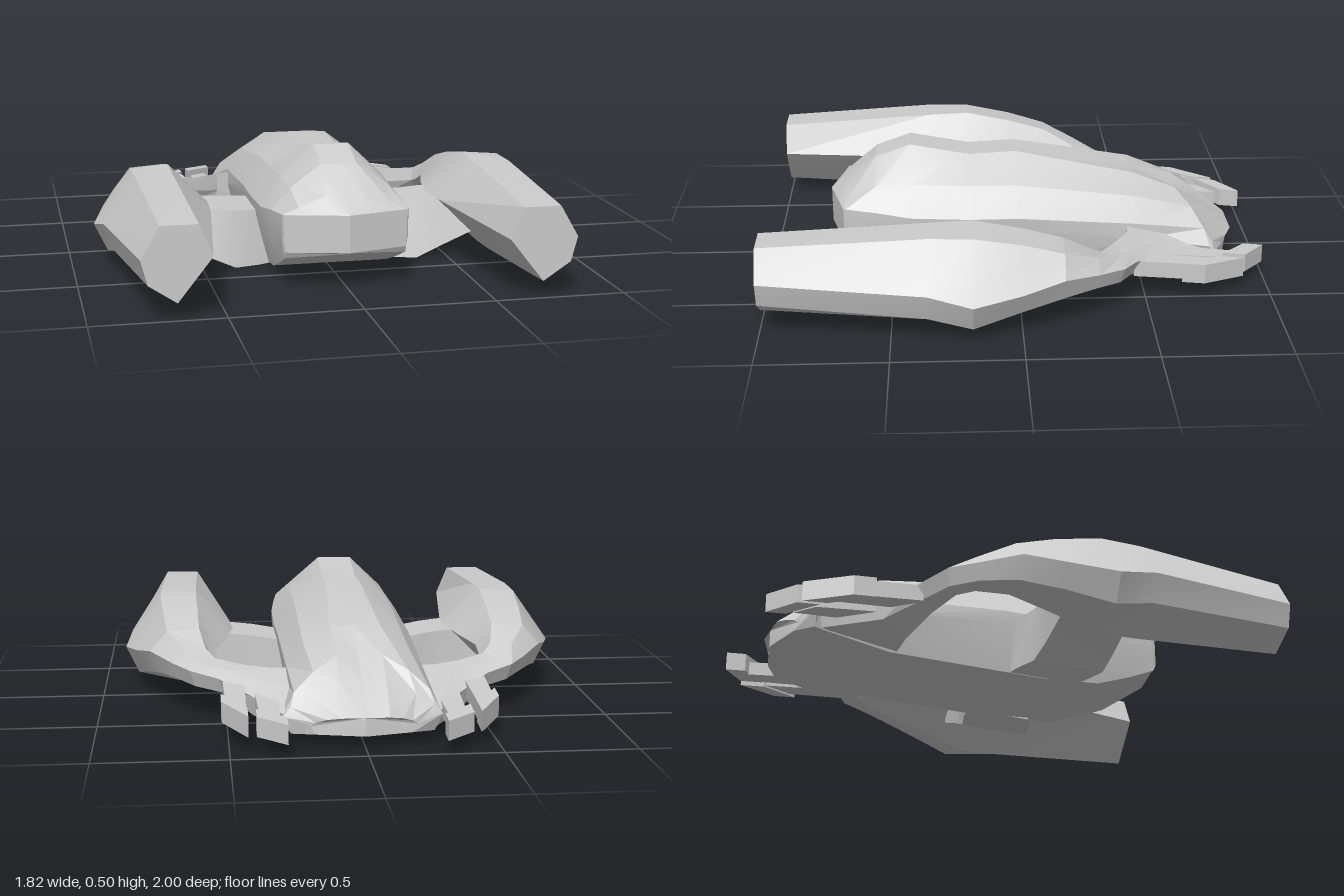
import * as THREE from 'three';
import { toCreasedNormals } from 'three/addons/utils/BufferGeometryUtils.js';

const material = new THREE.MeshStandardMaterial({ color: 0xcccccc });

// Skin a run of cross-sections (clockwise seen from the front, ordered front to back).
function loft(name, sections, crease) {
  const pos = [];
  const tri = (a, b, c) => pos.push(...a, ...b, ...c);
  const n = sections[0].length;
  for (let i = 0; i < sections.length - 1; i++) {
    for (let j = 0; j < n; j++) {
      const k = (j + 1) % n, s = sections[i], t = sections[i + 1];
      tri(s[j], s[k], t[j]);
      tri(s[k], t[k], t[j]);
    }
  }
  const first = sections[0], last = sections[sections.length - 1];
  for (let j = 1; j < n - 1; j++) {
    tri(first[0], first[j + 1], first[j]);
    tri(last[0], last[j], last[j + 1]);
  }
  const geo = new THREE.BufferGeometry();
  geo.setAttribute('position', new THREE.Float32BufferAttribute(pos, 3));
  const mesh = new THREE.Mesh(toCreasedNormals(geo, crease), material);
  mesh.name = name;
  return mesh;
}

const mirror = (sections) => sections.map((s) => s.map(([x, y, z]) => [-x, y, z]).reverse());

// Hull rows: z, sweep, then x,y of roof edge, shoulder, waist, lower waist, keel edge
const hullRows = [
  [0.76, -0.25, 0.07, 0.29, 0.18, 0.29, 0.24, 0.29, 0.24, 0.2, 0.235, 0.145],
  [0.68, 0.04, 0.07, 0.355, 0.18, 0.312, 0.245, 0.29, 0.245, 0.19, 0.235, 0.12],
  [0.57, 0, 0.07, 0.45, 0.19, 0.365, 0.262, 0.28, 0.262, 0.19, 0.23, 0.07],
  [0.43, 0, 0.07, 0.5, 0.2, 0.375, 0.278, 0.26, 0.275, 0.2, 0.23, 0.02],
  [0.19, 0, 0.07, 0.455, 0.2, 0.365, 0.278, 0.25, 0.275, 0.2, 0.23, 0],
  [0, 0, 0.07, 0.465, 0.2, 0.365, 0.275, 0.25, 0.272, 0.2, 0.23, 0],
  [-0.48, 0, 0.1, 0.375, 0.2, 0.31, 0.265, 0.215, 0.27, 0.15, 0.23, 0],
  [-0.61, -0.6, 0.085, 0.3, 0.18, 0.25, 0.255, 0.185, 0.29, 0.12, 0.265, 0.03],
  [-0.75, -0.17, 0.09, 0.225, 0.2, 0.175, 0.27, 0.135, 0.3, 0.1, 0.27, 0.035],
  [-0.945, 0.5, 0.09, 0.115, 0.14, 0.105, 0.18, 0.09, 0.2, 0.075, 0.18, 0.045],
];

function hullSection([z, sweep, ...p]) {
  const at = (x, y) => [x, y, Math.max(z + sweep * Math.abs(x), -0.9)];
  const right = [];
  for (let i = 0; i < p.length; i += 2) right.push([p[i], p[i + 1]]);
  const left = right.map(([x, y]) => [-x, y]).reverse();
  return [[0, p[1]], ...right, [0, p[9]], ...left].map(([x, y]) => at(x, y));
}

// Pod sections: z, then x,y of inner top, outer top, outer, lower outer, bottom, inner
const podRows = [
  [1, 0.6, 0.35, 0.74, 0.35, 0.81, 0.23, 0.785, 0.135, 0.68, 0.065, 0.55, 0.23],
  [0.36, 0.61, 0.385, 0.757, 0.383, 0.885, 0.205, 0.845, 0.095, 0.68, 0.018, 0.465, 0.235],
  [0.19, 0.61, 0.393, 0.76, 0.38, 0.91, 0.165, 0.858, 0.055, 0.68, 0.012, 0.455, 0.235],
  [0, 0.605, 0.355, 0.745, 0.345, 0.858, 0.19, 0.81, 0.1, 0.67, 0.07, 0.49, 0.23],
  [-0.16, 0.6, 0.31, 0.73, 0.3, 0.8, 0.22, 0.76, 0.13, 0.66, 0.115, 0.535, 0.22],
];
const podSection = ([z, ...p]) => [0, 2, 4, 6, 8, 10].map((i) => [p[i], p[i + 1], z]);

// Rear arm sections, bending from the pod in to the hull
const armSections = [
  [[0.575, 0.25, -0.27], [0.66, 0.25, -0.29], [0.71, 0.2, -0.3], [0.69, 0.135, -0.29], [0.62, 0.125, -0.28], [0.54, 0.18, -0.26]],
  [[0.54, 0.22, -0.315], [0.6, 0.21, -0.37], [0.64, 0.19, -0.4], [0.62, 0.125, -0.385], [0.56, 0.125, -0.335], [0.537, 0.165, -0.31]],
  [[0.43, 0.205, -0.375], [0.49, 0.195, -0.43], [0.53, 0.17, -0.46], [0.51, 0.11, -0.445], [0.44, 0.09, -0.39], [0.425, 0.15, -0.37]],
  [[0.32, 0.205, -0.44], [0.375, 0.175, -0.52], [0.41, 0.13, -0.58], [0.4, 0.05, -0.57], [0.33, 0.02, -0.45], [0.32, 0.13, -0.438]],
  [[0.2, 0.21, -0.455], [0.25, 0.165, -0.62], [0.285, 0.1, -0.785], [0.27, 0.035, -0.77], [0.2, 0.002, -0.45], [0.2, 0.13, -0.45]],
];

// Front wing stations: x, top y, bottom y, rear z, top front z, bottom front z
const wingStations = [
  [0.2, 0.21, 0.002, 0.03, 0.26, 0.31],
  [0.27, 0.215, 0.002, 0.04, 0.295, 0.345],
  [0.37, 0.226, 0.004, 0.075, 0.33, 0.378],
  [0.46, 0.235, 0.045, 0.085, 0.335, 0.38],
  [0.6, 0.235, 0.1, 0.085, 0.335, 0.37],
];
const wingSection = ([x, top, low, back, fTop, fLow]) =>
  [[x, top, fTop], [x, low, fLow], [x, low, back], [x, top, back]];

// Plate from a plan outline (x,z corners) between two heights, dipping towards the tail
function plate(name, outline, low, high, side) {
  const shape = new THREE.Shape(outline.map(([x, z]) => new THREE.Vector2(side * x, -z)));
  const geo = new THREE.ExtrudeGeometry(shape, { depth: high - low, bevelEnabled: false });
  geo.rotateX(-Math.PI / 2);
  const p = geo.attributes.position;
  const front = Math.max(...outline.map(([, z]) => z));
  for (let i = 0; i < p.count; i++) p.setY(i, p.getY(i) + low + 0.09 * (p.getZ(i) - front));
  geo.computeVertexNormals();
  const mesh = new THREE.Mesh(geo, material);
  mesh.name = name;
  return mesh;
}

export function createModel() {
  const model = new THREE.Group();
  model.name = 'spacecraft';
  model.add(loft('hull', hullRows.map(hullSection), 0.3));

  for (const side of [1, -1]) {
    const label = side > 0 ? 'left' : 'right';
    const place = (s) => (side > 0 ? s : mirror(s));
    // Engine pod flowing into the rear arm
    model.add(loft(label + 'PodAndArm', place([...podRows.map(podSection), ...armSections]), 0.22));
    // Short front wing joining hull and pod
    model.add(loft(label + 'FrontWing', place(wingStations.map(wingSection)), 0.3));

    // Pair of tail fins, each a stem with a raked tip
    const fins = new THREE.Group();
    fins.name = label + 'TailFins';
    fins.add(
      plate('innerFinStem', [[0.315, -0.9], [0.385, -0.83], [0.395, -0.55], [0.305, -0.68]], 0.085, 0.14, side),
      plate('innerFinTip', [[0.29, -1], [0.4, -0.91], [0.4, -0.82], [0.29, -0.92]], 0.065, 0.14, side),
      plate('outerFinStem', [[0.435, -0.82], [0.51, -0.67], [0.515, -0.45], [0.43, -0.52]], 0.1, 0.165, side),
      plate('outerFinTip', [[0.43, -0.9], [0.525, -0.73], [0.525, -0.64], [0.43, -0.8]], 0.075, 0.155, side),
    );
    model.add(fins);
  }
  return model;
}
